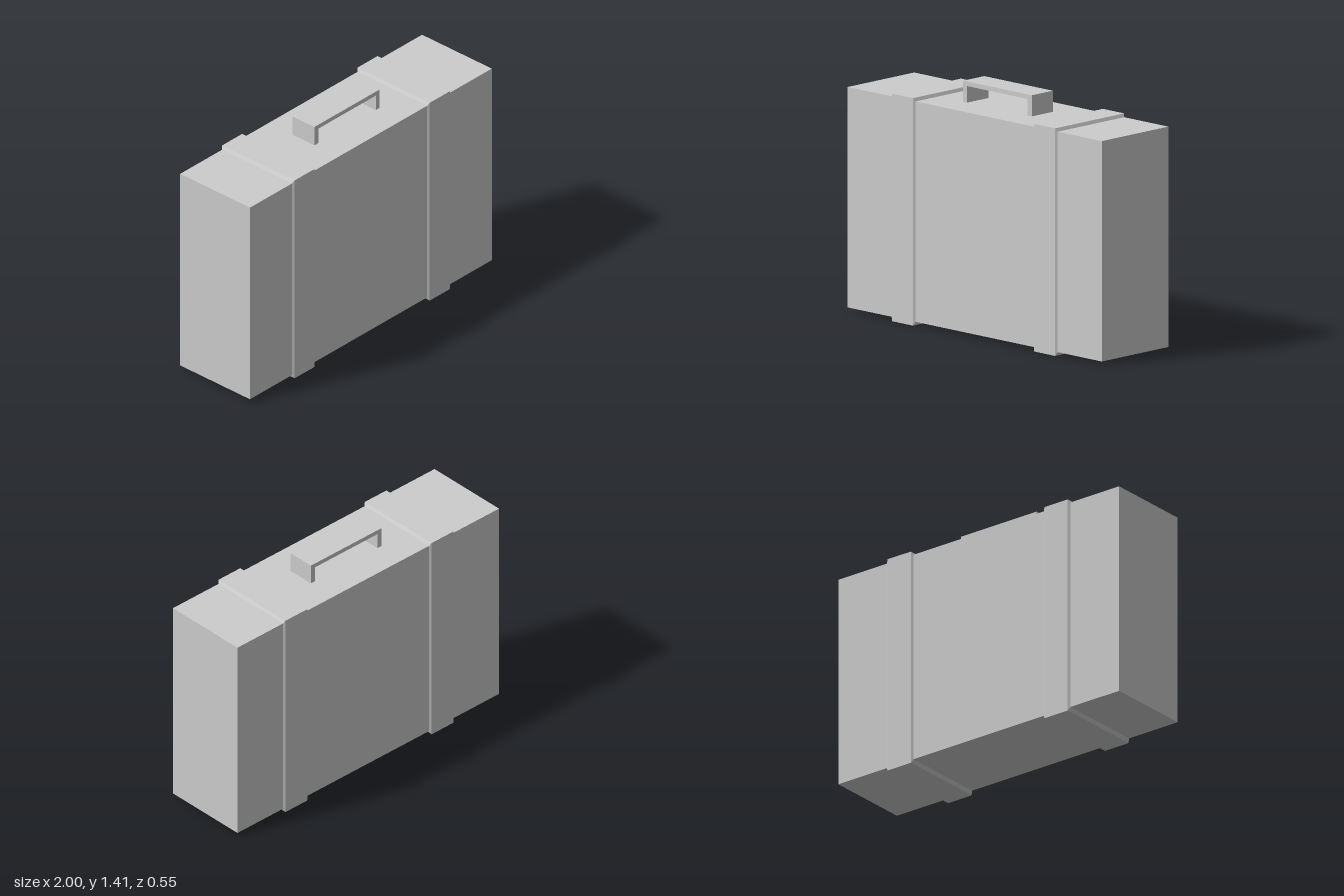
import * as THREE from 'three';

const BODY = { bottom: 0.022, top: 1.285, depth: 0.53 };
const STRAP = { x: 0.559, halfWidth: 0.094, bevel: 0.011, height: 1.304, depth: 0.55 };

// Raised band around the case: a box whose two ends taper down to the body surface
function strapGeometry() {
  const bodyHeight = BODY.top - BODY.bottom;
  const box = new THREE.BoxGeometry(2 * STRAP.halfWidth, STRAP.height, STRAP.depth, 3, 1, 1);
  const pos = box.attributes.position;
  for (let i = 0; i < pos.count; i++) {
    const x = pos.getX(i);
    const isEnd = Math.abs(x) > STRAP.halfWidth * 0.9;
    if (isEnd) {
      pos.setY(i, Math.sign(pos.getY(i)) * bodyHeight / 2);
      pos.setZ(i, Math.sign(pos.getZ(i)) * BODY.depth / 2);
    } else {
      pos.setX(i, Math.sign(x) * (STRAP.halfWidth - STRAP.bevel));
    }
  }
  const flat = box.toNonIndexed();
  flat.computeVertexNormals();
  return flat;
}

// Square-cornered bracket standing on the top face
function handleGeometry() {
  const outer = 0.27, inner = 0.238, top = 1.406, innerTop = 1.38, depth = 0.168;
  const base = BODY.top;
  const shape = new THREE.Shape([
    [-outer, base], [-inner, base], [-inner, innerTop], [inner, innerTop],
    [inner, base], [outer, base], [outer, top], [-outer, top],
  ].map(([x, y]) => new THREE.Vector2(x, y)));
  return new THREE.ExtrudeGeometry(shape, { depth, bevelEnabled: false }).translate(0, 0, -depth / 2);
}

export function createModel() {
  const group = new THREE.Group();
  group.name = 'suitcase';
  const grey = new THREE.MeshStandardMaterial({ color: 0xcccccc });
  grey.name = 'light grey';

  const add = (name, geometry, x = 0, y = 0) => {
    const mesh = new THREE.Mesh(geometry, grey);
    mesh.name = name;
    mesh.position.set(x, y, 0);
    group.add(mesh);
  };

  // Case body
  add('body', new THREE.BoxGeometry(2, BODY.top - BODY.bottom, BODY.depth), 0, (BODY.top + BODY.bottom) / 2);

  // Two straps
  const strap = strapGeometry();
  add('leftStrap', strap, STRAP.x, STRAP.height / 2);
  add('rightStrap', strap, -STRAP.x, STRAP.height / 2);

  // Carrying handle
  add('handle', handleGeometry());

  return group;
}
